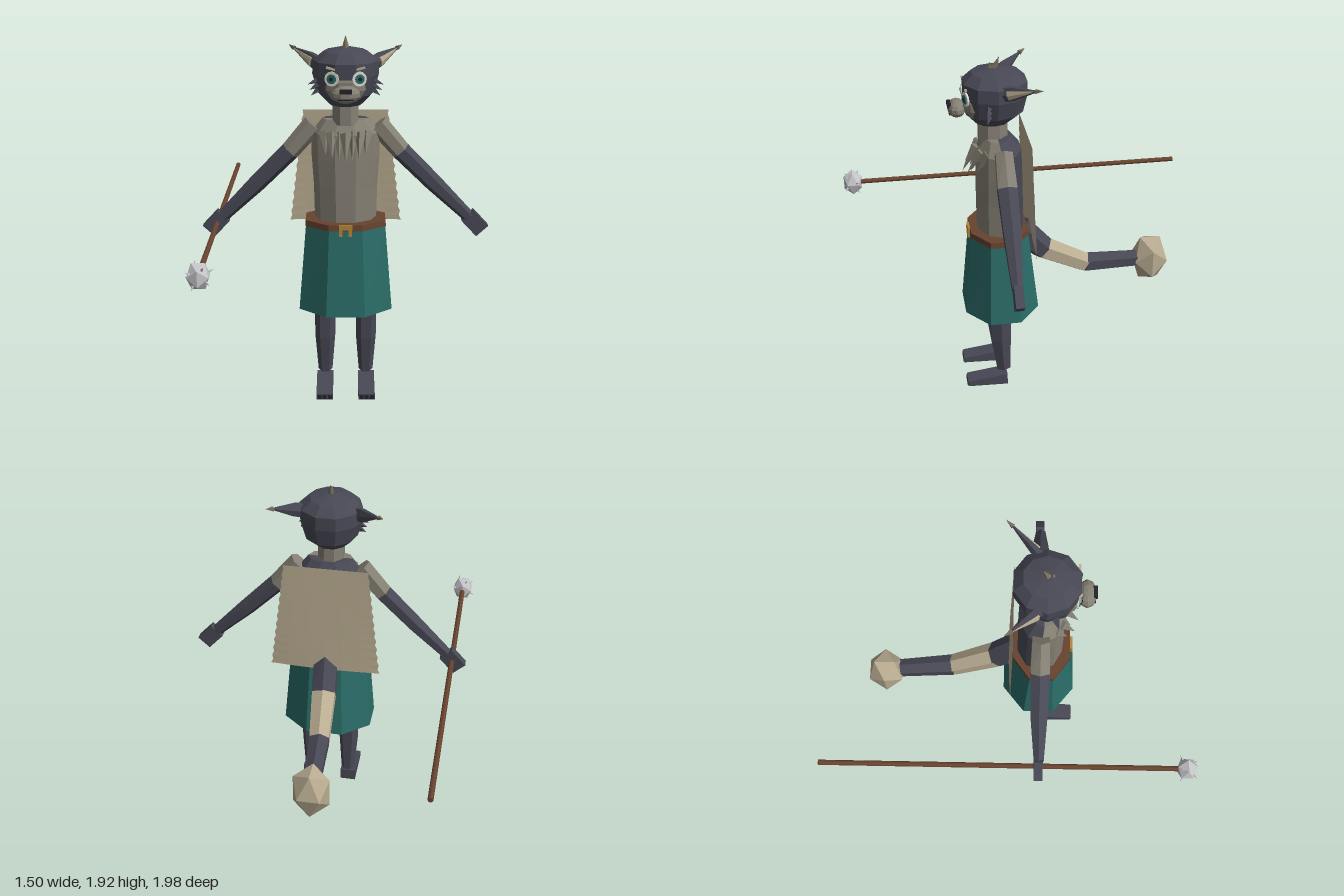
import * as THREE from 'three';

const V = (x, y, z) => new THREE.Vector3(x, y, z);
const UP = V(0, 1, 0);

export function createModel() {
  const root = new THREE.Group();
  const mat = (name, color, side = THREE.FrontSide) => {
    const m = new THREE.MeshStandardMaterial({ color, flatShading: true, side });
    m.name = name;
    return m;
  };
  const fur = mat('dark fur', 0x484855);
  const chest = mat('grey fur', 0x858074);
  const beige = mat('beige fur', 0xb8ab90, THREE.DoubleSide);
  const teal = mat('teal cloth', 0x2a6c67, THREE.DoubleSide);
  const wood = mat('brown wood', 0x68432f);
  const gold = mat('brass', 0xb58539);
  const steel = mat('pale steel', 0xc6c6ca);
  const white = mat('eye white', 0xdedcd2);
  const black = mat('black', 0x22222a);
  const tuftMat = mat('olive tuft', 0x776e5a);

  const add = (name, geo, m, x = 0, y = 0, z = 0) => {
    const mesh = new THREE.Mesh(geo, m);
    mesh.name = name;
    mesh.position.set(x, y, z);
    root.add(mesh);
    return mesh;
  };

  // Skin over rings of [centre, u, v]; pick(side) chooses a material group
  const loft = (rings, n, { capped = true, pick = () => 0, groups = 1 } = {}) => {
    const pos = [], g = new THREE.BufferGeometry();
    const pt = ([c, u, v], i) => {
      const a = ((i - 0.5) / n) * Math.PI * 2;
      return c.clone().addScaledVector(u, Math.cos(a)).addScaledVector(v, Math.sin(a));
    };
    const tri = (...p) => p.forEach((q) => pos.push(q.x, q.y, q.z));
    const last = rings[rings.length - 1];
    for (let k = 0; k < groups; k++) {
      const start = pos.length / 3;
      for (let i = 0; i < n; i++) {
        if (pick(i) !== k) continue;
        for (let r = 0; r < rings.length - 1; r++) {
          const a = pt(rings[r], i), b = pt(rings[r], i + 1);
          const c = pt(rings[r + 1], i + 1), d = pt(rings[r + 1], i);
          tri(a, b, c);
          tri(a, c, d);
        }
        if (capped) {
          tri(rings[0][0], pt(rings[0], i + 1), pt(rings[0], i));
          tri(last[0], pt(last, i), pt(last, i + 1));
        }
      }
      if (groups > 1) g.addGroup(start, pos.length / 3 - start, k);
    }
    g.setAttribute('position', new THREE.Float32BufferAttribute(pos, 3));
    g.computeVertexNormals();
    return g;
  };
  // Upright rings given as [y, halfWidth, halfDepth, z]
  const upright = (rows, n, opt) =>
    loft(rows.map(([y, rx, rz, z]) => [V(0, y, z), V(0, 0, rz), V(rx, 0, 0)]), n, opt);
  // Limb along points; radii are [across ref, other]
  const limb = (pts, radii, ref, n = 6) => loft(pts.map((p, i) => {
    const t = pts[Math.min(i + 1, pts.length - 1)].clone().sub(pts[Math.max(i - 1, 0)]).normalize();
    const u = ref.clone().addScaledVector(t, -ref.dot(t)).normalize();
    const v = t.clone().cross(u);
    return [p, u.multiplyScalar(radii[i][0]), v.multiplyScalar(radii[i][1])];
  }), n);
  const spike = (name, from, to, r, m, n = 4) => {
    const d = to.clone().sub(from);
    const mesh = add(name, new THREE.ConeGeometry(r, d.length(), n), m);
    mesh.position.copy(from).addScaledVector(d, 0.5);
    mesh.quaternion.setFromUnitVectors(UP, d.normalize());
    return mesh;
  };

  // Torso: grey front, dark back
  add('torso', upright([
    [0.94, 0.16, 0.125, 0.15], [1.15, 0.165, 0.125, 0.15], [1.3, 0.175, 0.122, 0.15],
    [1.43, 0.175, 0.118, 0.15], [1.5, 0.12, 0.07, 0.16],
  ], 10, { groups: 2, pick: (i) => (Math.cos((i / 10) * Math.PI * 2) > 0 ? 0 : 1) }), [chest, fur]);
  add('neck', upright([[1.48, 0.072, 0.08, 0.18], [1.63, 0.07, 0.08, 0.18]], 8), chest);
  for (let i = 0; i < 7; i++) {
    const x = (i - 3) * 0.037, k = Math.abs(i - 3) * 0.01, row = i % 2;
    spike('chestTuft', V(x, 1.44, 0.245 + row * 0.02 - k), V(x * 0.9, 1.305 + k, 0.31 + row * 0.03 - k), 0.028, chest);
  }

  // Skirt, belt and buckle
  add('skirt', upright([[0.48, 0.265, 0.217, 0.155], [0.96, 0.222, 0.163, 0.16]], 8, { capped: false }), teal);
  add('belt', upright([[0.94, 0.227, 0.168, 0.16], [0.972, 0.225, 0.166, 0.16]], 8), wood);
  add('buckle', new THREE.BoxGeometry(0.07, 0.025, 0.012), gold, 0, 0.963, 0.32);
  for (const s of [-1, 1]) add('buckleProng', new THREE.BoxGeometry(0.018, 0.04, 0.012), gold, s * 0.024, 0.935, 0.322);

  // Head
  add('head', upright([
    [1.58, 0.085, 0.09, 0.18], [1.635, 0.14, 0.15, 0.17], [1.73, 0.168, 0.168, 0.165],
    [1.8, 0.165, 0.168, 0.165], [1.845, 0.11, 0.12, 0.165], [1.864, 0.03, 0.03, 0.165],
  ], 10), fur);
  const ball = (name, m, x, y, z, rx, ry, rz) =>
    add(name, new THREE.SphereGeometry(1, 10, 7), m, x, y, z).scale.set(rx, ry, rz);
  ball('face', chest, 0, 1.69, 0.25, 0.115, 0.1, 0.085);
  ball('muzzle', chest, 0, 1.66, 0.36, 0.073, 0.045, 0.048);
  add('nose', new THREE.BoxGeometry(0.06, 0.022, 0.02), black, 0, 1.682, 0.398);
  add('mouth', new THREE.BoxGeometry(0.08, 0.005, 0.008), black, 0, 1.64, 0.397);
  spike('crownTuft', V(0, 1.85, 0.17), V(0, 1.92, 0.14), 0.022, tuftMat);
  spike('crownTuft', V(0, 1.85, 0.19), V(0, 1.895, 0.185), 0.016, tuftMat);

  // Tail with a pale band and faceted tip
  const A = V(0, 0.93, 0.05), B = V(-0.01, 0.79, -0.09), C = V(-0.03, 0.66, -0.33), D = V(-0.05, 0.645, -0.63);
  const X = V(1, 0, 0);
  add('tailBase', limb([A, B], [[0.075, 0.08], [0.072, 0.066]], X), fur);
  add('tailBand', limb([B, C], [[0.072, 0.066], [0.06, 0.056]], X), beige);
  add('tailEnd', limb([C, D], [[0.06, 0.056], [0.05, 0.05]], X), fur);
  add('tailTip', new THREE.IcosahedronGeometry(1).rotateY(Math.PI / 2), beige, -0.06, 0.64, -0.71)
    .scale.set(0.111, 0.153, 0.107);

  // Cape: flared sheet with ragged side edges
  const cape = new THREE.PlaneGeometry(1, 1, 6, 24);
  const cp = cape.attributes.position;
  for (let i = 0; i < cp.count; i++) {
    const u = cp.getX(i) * 2, t = 0.5 - cp.getY(i);
    const rag = Math.abs(u) > 0.99 && Math.round(t * 24) % 2 ? 0.97 : 1;
    cp.setXYZ(i, u * (0.225 + 0.075 * t) * rag, 1.51 - 0.61 * t, 0.008 - 0.025 * t + 0.012 * u * u * t);
  }
  cape.computeVertexNormals();
  add('cape', cape, beige);

  // Mirrored parts
  const Z = V(0, 0, 1);
  for (const s of [-1, 1]) {
    const shoulder = V(s * 0.165, 1.465, 0.145), elbow = V(s * 0.285, 1.325, 0.145);
    add('upperArm', limb([shoulder, elbow], [[0.05, 0.055], [0.057, 0.05]], Z), chest);
    add('forearm', limb([elbow, V(s * 0.46, 1.15, 0.145), V(s * 0.65, 0.965, 0.15)],
      [[0.057, 0.05], [0.05, 0.046], [0.03, 0.032]], Z), fur);
    add('hand', new THREE.BoxGeometry(0.085, 0.115, 0.046), fur, s * 0.68, 0.935, 0.148).rotation.z = s * 0.75;

    add('leg', limb([V(s * 0.11, 0.09, 0.155), V(s * 0.11, 0.3, 0.168), V(s * 0.11, 0.7, 0.17)],
      [[0.042, 0.038], [0.062, 0.054], [0.07, 0.058]], Z), fur);
    // Foot: box with a lowered toe
    const foot = new THREE.BoxGeometry(0.088, 0.068, 0.225, 1, 1, 2), fp = foot.attributes.position;
    for (let i = 0; i < fp.count; i++) {
      const f = fp.getZ(i) / 0.225 + 0.5;
      fp.setY(i, fp.getY(i) > 0 ? 0.068 - 0.03 * f : 0.008 * f);
    }
    foot.computeVertexNormals();
    add('foot', foot, fur, s * 0.112, 0, 0.25);
    for (let k = -1; k <= 1; k++)
      add('toe', new THREE.BoxGeometry(0.022, 0.02, 0.008), black, s * 0.112 + k * 0.028, 0.022, 0.362);

    // Ears with pale inner side and end tuft
    const base = V(s * 0.12, 1.765, 0.15), tip = V(s * 0.265, 1.832, 0.0);
    add('ear', limb([base, base.clone().lerp(tip, 0.4), tip], [[0.042, 0.03], [0.038, 0.022], [0.006, 0.006]], UP), fur);
    const inBase = base.clone().lerp(tip, 0.3).add(V(s * 0.012, -0.004, 0.016));
    const inTip = tip.clone().add(V(0, 0, 0.004));
    add('innerEar', limb([inBase, inTip], [[0.026, 0.012], [0.003, 0.003]], UP), beige);
    spike('earTuft', tip, V(s * 0.295, 1.845, -0.035), 0.014, tuftMat);

    // Cheek fur
    for (let k = 0; k < 3; k++)
      spike('cheekTuft', V(s * 0.14, 1.705 - k * 0.025, 0.21), V(s * (0.19 - k * 0.008), 1.685 - k * 0.028, 0.225), 0.018, fur);

    // Eyes and brows
    const eye = new THREE.Group();
    eye.name = 'eye';
    eye.position.set(s * 0.068, 1.73, 0.318);
    eye.rotation.y = s * 0.3;
    [[0.037, white], [0.024, teal], [0.01, black]].forEach(([r, m], i) => {
      const disc = new THREE.Mesh(new THREE.CylinderGeometry(r, r, 0.009, 12).rotateX(Math.PI / 2), m);
      disc.position.z = i * 0.005;
      eye.add(disc);
    });
    root.add(eye);
    add('brow', new THREE.BoxGeometry(0.07, 0.01, 0.012), beige, s * 0.062, 1.778, 0.318).rotation.z = s * 0.25;
  }

  // Spiked staff held level in the right hand
  add('staff', new THREE.CylinderGeometry(0.014, 0.014, 1.88, 8).rotateX(Math.PI / 2), wood, -0.675, 0.935, -0.06);
  const hub = V(-0.675, 0.935, 0.925);
  add('staffHead', new THREE.IcosahedronGeometry(1), steel, hub.x, hub.y, hub.z).scale.set(0.06, 0.076, 0.06);
  for (let i = 0; i < 8; i++) {
    const a = (i / 8) * Math.PI * 2 + 0.3;
    const d = V(Math.cos(a), Math.sin(a), i % 2 ? 0.7 : -0.5).normalize();
    spike('staffSpike', hub.clone().addScaledVector(d, 0.045), hub.clone().addScaledVector(d, 0.08), 0.01, steel);
  }
  return root;
}
